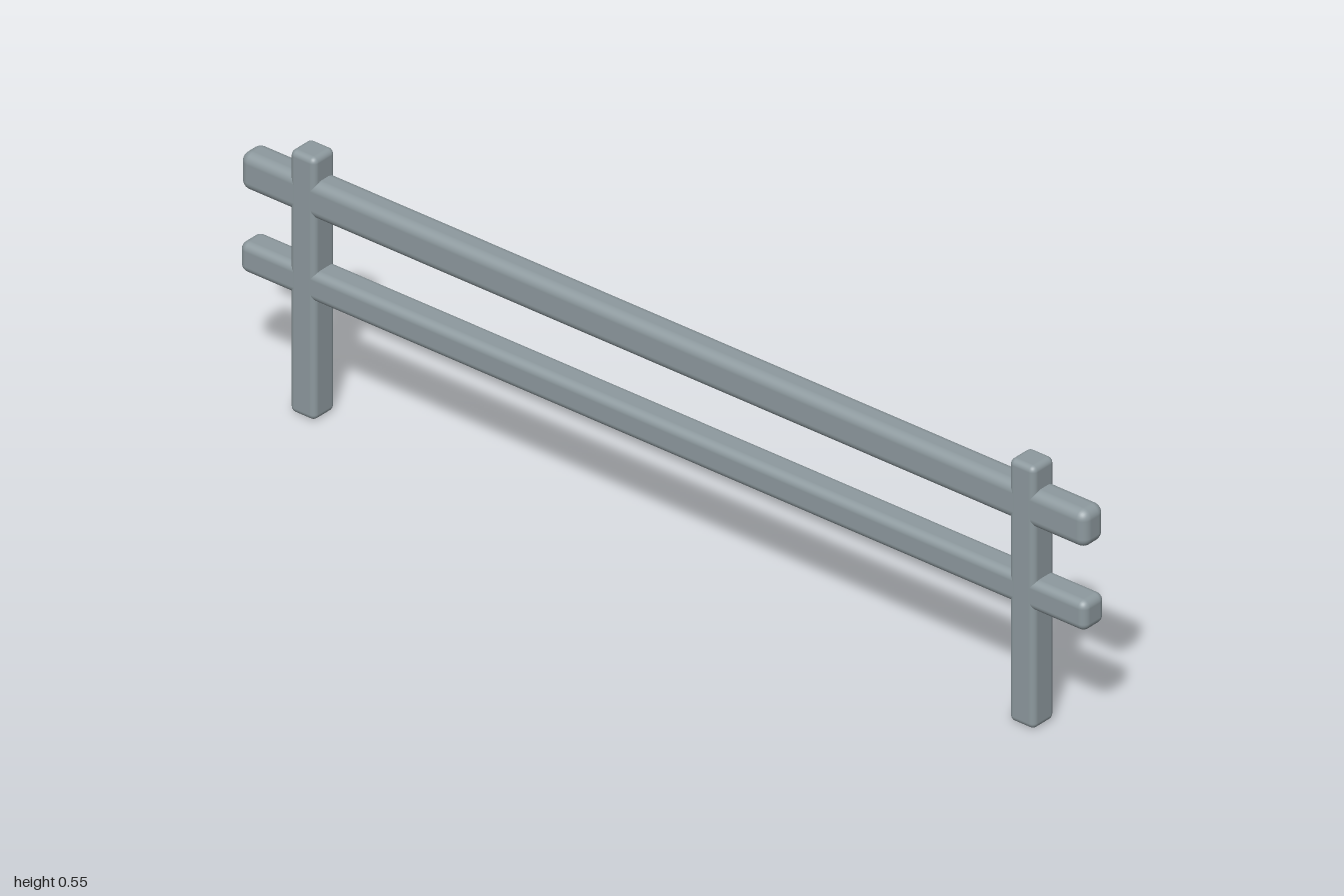
import * as THREE from 'three';
import { RoundedBoxGeometry } from 'three/addons/geometries/RoundedBoxGeometry.js';

export function createModel() {
  const group = new THREE.Group();
  const greyMetal = new THREE.MeshStandardMaterial({ color: 0x8d999e });
  greyMetal.name = 'greyMetal';

  // Rounded bar centred on (x, y, 0)
  const addBar = (name, width, height, depth, radius, x, y) => {
    const bar = new THREE.Mesh(new RoundedBoxGeometry(width, height, depth, 4, radius), greyMetal);
    bar.name = name;
    bar.position.set(x, y, 0);
    group.add(bar);
  };

  // Upright posts
  for (const side of [1, -1]) {
    addBar(side > 0 ? 'leftPost' : 'rightPost', 0.06, 0.552, 0.06, 0.012, side * 0.85, 0.276);
  }

  // Horizontal rails, running past the posts
  addBar('upperRail', 2, 0.078, 0.0596, 0.02, 0, 0.462);
  addBar('lowerRail', 2, 0.063, 0.0596, 0.016, 0, 0.281);

  return group;
}
